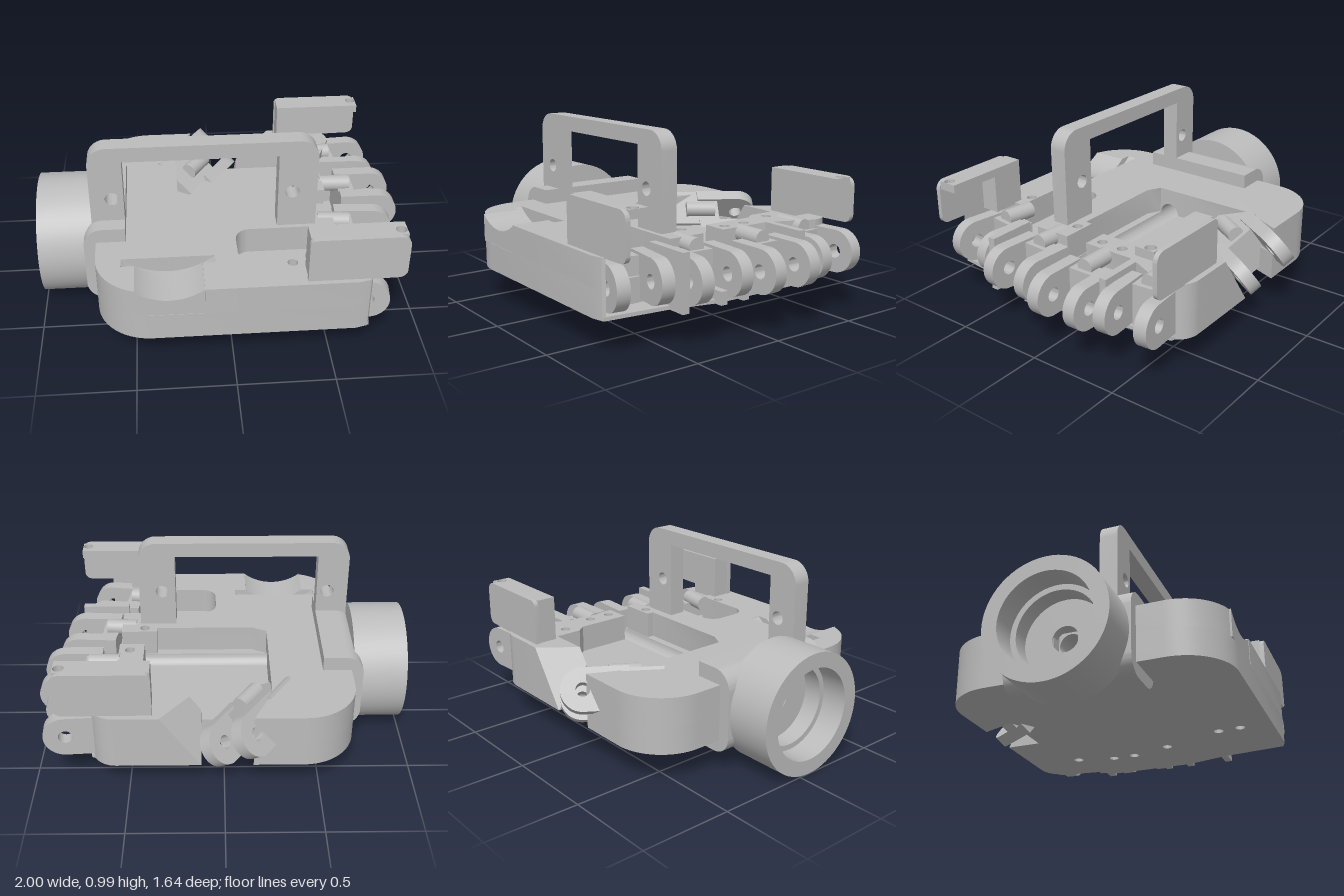
import * as THREE from 'three';
import { toCreasedNormals, mergeGeometries } from 'three/addons/utils/BufferGeometryUtils.js';
import { ConvexGeometry } from 'three/addons/geometries/ConvexGeometry.js';

const grey = new THREE.MeshStandardMaterial({ color: 0xbcbcbc });
grey.name = 'plain grey';

function mesh(parent, name, geo) {
  const m = new THREE.Mesh(toCreasedNormals(geo, 0.5), grey);
  m.name = name;
  parent.add(m);
  return m;
}

function box(parent, name, x0, x1, y0, y1, z0, z1) {
  const g = new THREE.BoxGeometry(x1 - x0, y1 - y0, z1 - z0);
  g.translate((x0 + x1) / 2, (y0 + y1) / 2, (z0 + z1) / 2);
  return mesh(parent, name, g);
}

// Polygon whose points may carry a third value: a corner radius
function poly(pts, holes = []) {
  const s = new THREE.Shape();
  const n = pts.length;
  pts.forEach(([x, y, r = 0], i) => {
    const p = new THREE.Vector2(x, y);
    const toward = (q) => new THREE.Vector2(q[0], q[1]).sub(p).setLength(r).add(p);
    const a = r ? toward(pts[(i + n - 1) % n]) : p;
    if (i) s.lineTo(a.x, a.y); else s.moveTo(a.x, a.y);
    if (!r) return;
    const b = toward(pts[(i + 1) % n]);
    // Cubic approximating a quarter circle
    const k = 0.5523;
    const c1 = a.clone().lerp(p, k), c2 = b.clone().lerp(p, k);
    s.bezierCurveTo(c1.x, c1.y, c2.x, c2.y, b.x, b.y);
  });
  s.closePath();
  for (const [x, y, r] of holes) s.holes.push(new THREE.Path().absarc(x, y, r, 0, Math.PI * 2, true));
  return s;
}

const extrude = (shape, depth) => new THREE.ExtrudeGeometry(shape, { depth, bevelEnabled: false, curveSegments: 16 });
// Plan shape (x, z) raised between two heights
const alongY = (shape, y0, y1) => extrude(shape, y1 - y0).rotateX(Math.PI / 2).translate(0, y1, 0);
// Profile (x, y) swept in z
const alongZ = (shape, z0, z1) => extrude(shape, z1 - z0).translate(0, 0, z0);
// Profile (-z, y) swept in x
const alongX = (shape, x0, x1) => extrude(shape, x1 - x0).rotateY(Math.PI / 2).translate(x0, 0, 0);
const rect = (x0, x1, y0, y1) => [[x0, y0], [x1, y0], [x1, y1], [x0, y1]];

const LOW = 0.18, MID = 0.33, TOP = 0.48, AXIS_Z = 0.065;

// Pair of pierced lugs with a block and a pin tube; local +x points outward
function hinge(parent, name, x, y, z, yaw, roll = 0, lugLength = 0.21) {
  const h = new THREE.Group();
  h.name = name;
  const lug = new THREE.Shape();
  lug.moveTo(-lugLength, -0.115);
  lug.lineTo(0, -0.115);
  lug.absarc(0, 0, 0.115, -Math.PI / 2, Math.PI / 2, false);
  lug.lineTo(-lugLength, 0.115);
  lug.closePath();
  lug.holes.push(new THREE.Path().absarc(0, 0, 0.037, 0, Math.PI * 2, true));
  for (const side of [-1, 1]) {
    mesh(h, 'hingeLug', alongZ(lug, side * 0.115 - 0.035, side * 0.115 + 0.035));
  }
  box(h, 'hingeBlock', -0.21, -0.12, -0.135, 0.1, -0.082, 0.082);
  mesh(h, 'hingePin', new THREE.CylinderGeometry(0.045, 0.045, 0.17, 24)
    .rotateZ(Math.PI / 2).translate(-0.23, 0.115, 0));
  h.rotation.set(roll, yaw, 0, 'YXZ');
  h.position.set(x, y, z);
  parent.add(h);
  return h;
}

export function createModel() {
  const model = new THREE.Group();
  model.name = 'cameraMount';
  const body = new THREE.Group();
  body.name = 'body';
  model.add(body);

  // Rear half of the body, with the buckle notch
  const r = 0.027;
  const rearHoles = [[0.47, -0.4, r], [0.52, -0.19, r], [0.52, -0.06, r]];
  mesh(body, 'rearFloor', alongY(poly([
    [-0.69, 0], [-0.69, -0.69, 0.28], [-0.15, -0.69], [-0.22, -0.5], [0.33, -0.5],
    [0.33, -0.69], [0.69, -0.69, 0.13], [0.69, -0.55], [0.6, -0.3], [0.6, 0],
  ], rearHoles), LOW, MID));
  mesh(body, 'rearLeftRim', alongY(poly([
    [-0.69, 0], [-0.69, -0.69, 0.28], [-0.15, -0.69], [-0.25, -0.48], [-0.25, 0],
  ]), MID, TOP));
  mesh(body, 'rearRightRim', alongY(poly([
    [0.33, -0.69], [0.69, -0.69, 0.13], [0.69, -0.55], [0.58, -0.3], [0.58, 0],
    [0.44, 0], [0.44, -0.3], [0.4, -0.35], [0.4, -0.5], [0.33, -0.5],
  ], rearHoles), MID, TOP));
  // Block whose top is cut by an oblique plane
  mesh(body, 'rearSlope', new ConvexGeometry([
    [0.33, TOP, -0.69], [0.18, TOP, -0.5], [0.12, LOW, -0.69], [0.12, 0.394, -0.5],
    [0.12, LOW, -0.5], [0.33, LOW, -0.69], [0.33, LOW, -0.5], [0.33, TOP, -0.5],
  ].map((p) => new THREE.Vector3(...p))));

  // Front half of the body, with hinge recess and curved dips
  const frontHoles = [[0.45, 0.17, r], [0.31, 0.64, r]];
  mesh(body, 'frontFloor', alongY(poly([
    [-0.69, 0.13], [0.6, 0.13], [0.6, 0.79], [0.69, 0.79], [0.68, 0.805], [0.62, 0.82], [-0.69, 0.82, 0.28],
  ], [...frontHoles, [0.32, 0.515, r]]), LOW, MID));
  const cornerArc = Array.from({ length: 11 }, (_, i) => {
    const a = THREE.MathUtils.lerp(Math.acos(-0.08 / 0.28), Math.PI, i / 10);
    return [-0.41 + 0.28 * Math.cos(a), 0.54 + 0.28 * Math.sin(a)];
  });
  mesh(body, 'frontRim', alongY(poly([
    [-0.69, 0.13], [-0.25, 0.13], [-0.17, 0.17], [0.38, 0.17], [0.38, 0.13], [0.58, 0.13],
    [0.58, 0.34], [0.04, 0.34, 0.08], [0.04, 0.61, 0.08], [0.42, 0.61],
    [0.42, 0.79], [0.69, 0.79], [0.68, 0.805], [0.62, 0.82], [-0.145, 0.82], [-0.145, 0.61], [-0.08, 0.61],
    [-0.08, 0.55], [-0.56, 0.55], [-0.56, 0.61], [-0.49, 0.61], ...cornerArc,
  ], frontHoles), MID, TOP));
  const dip = (half, depth, z0, z1) => {
    const s = new THREE.Shape();
    const R = (half * half + depth * depth) / (2 * depth);
    const a = Math.asin(half / R);
    s.moveTo(-0.318 - half, MID);
    s.lineTo(-0.318 + half, MID);
    s.lineTo(-0.318 + half, TOP);
    s.absarc(-0.318, TOP + R - depth, R, -Math.PI / 2 + a, -Math.PI / 2 - a, true);
    s.closePath();
    mesh(body, 'curvedDip', alongZ(s, z0, z1));
  };
  dip(0.1725, 0.06, 0.61, 0.818);
  dip(0.24, 0.09, 0.55, 0.61);

  // Bore through the body, opening into a half-round groove
  mesh(body, 'boreStrip', alongX(poly(rect(-0.13, 0, LOW, TOP), [[-AXIS_Z, MID, 0.06]]), -0.69, -0.25));
  const groove = new THREE.Shape();
  groove.moveTo(-0.13, LOW);
  groove.lineTo(0, LOW);
  groove.lineTo(0, MID);
  groove.lineTo(-AXIS_Z + 0.06, MID);
  groove.absarc(-AXIS_Z, MID, 0.06, 0, -Math.PI, true);
  groove.lineTo(-0.13, MID);
  groove.closePath();
  mesh(body, 'grooveStrip', alongX(groove, -0.25, 0.6));

  // Thin tray and dividers under the hinges
  mesh(body, 'tray', alongY(poly([
    [0.58, -0.66], [0.69, -0.62], [0.73, -0.33], [0.79, -0.3], [0.79, 0.2], [0.73, 0.44],
    [0.69, 0.8], [0.58, 0.8],
  ]), LOW, LOW + 0.02));
  for (const [z, top] of [[0.435, TOP], [0.2, 0.25], [0.06, 0.25], [-0.315, TOP]]) {
    box(body, 'divider', 0.56, 0.83, LOW, top, z - 0.02, z + 0.02);
  }

  // Rounded mount block behind the lens ring, left open along the bore
  const [bx0, bx1, by0, by1] = [-0.755, -0.445, 0.11, 0.56];
  const upper = [[-0.535, 0.4], [-0.535, by1], [bx0, by1, 0.1]];
  const lower = [[bx0, by0, 0.1], [bx1, by0, 0.1]];
  const full = poly([...lower, [bx1, 0.4], ...upper]);
  mesh(model, 'mountBlock', mergeGeometries([
    alongZ(full, -0.27, 0),
    alongZ(full, 0.13, 0.4),
    alongZ(poly([...upper, [bx0, 0.4]]), 0, 0.13),
    alongZ(poly([...lower, [bx1, 0.26], [bx0, 0.26]]), 0, 0.13),
  ]));

  // Lens ring with stepped inside
  const ringProfile = [
    [0.07, 0.71], [0.325, 0.71], [0.325, 1], [0.245, 1], [0.245, 0.86],
    [0.215, 0.86], [0.215, 0.76], [0.07, 0.76], [0.07, 0.71],
  ].map(([x, y]) => new THREE.Vector2(x, y));
  mesh(model, 'lensRing', new THREE.LatheGeometry(ringProfile, 64)
    .rotateZ(Math.PI / 2).translate(0, MID, AXIS_Z));

  // Carrying handle
  mesh(model, 'handle', alongZ(poly([
    [-0.71, 0.46], [-0.535, 0.46], [-0.535, 0.912], [0.27, 0.912], [0.27, 0.46], [0.475, 0.46],
    [0.475, 0.995, 0.1], [-0.71, 0.995, 0.1],
  ], [[-0.595, 0.692, 0.037], [0.345, 0.692, 0.037]]), 0.22, 0.315));

  // Two side arms: outer plate, top cap with hole, inner rib
  for (const [name, outer, s] of [['frontArm', 0.795, 1], ['rearArm', -0.66, -1]]) {
    const arm = new THREE.Group();
    arm.name = name;
    model.add(arm);
    const span = (a, b) => [outer - s * a, outer - s * b].sort((p, q) => p - q);
    mesh(arm, 'armPlate', alongZ(poly([
      [0.365, 0.47], [0.86, 0.48, 0.04], [0.86, 0.725, 0.05], [0.365, 0.725, 0.03],
    ]), ...span(0, 0.025)));
    const [z0, z1] = span(0.025, 0.13);
    mesh(arm, 'armCap', alongY(poly(rect(0.37, 0.85, z0, z1), [[0.82, outer - s * 0.065, 0.028]]), 0.68, 0.725));
    box(arm, 'armRib', 0.37, 0.56, 0.47, 0.68, z0, z1);
  }

  // Hinges fanned along the side
  hinge(model, 'hinge', 0.695, 0.33, 0.63, -0.14);
  hinge(model, 'hinge', 0.815, 0.33, 0.255, -0.06);
  hinge(model, 'hinge', 0.885, 0.33, -0.125, 0);
  hinge(model, 'hinge', 0.825, 0.33, -0.49, 0.07);

  // Tilted rear buckle with its wider base
  const buckle = hinge(model, 'rearBuckle', -0.06, 0.32, -0.655, 1.0, 0.62, 0.24);
  box(buckle, 'buckleBase', -0.42, -0.2, -0.1, 0.1, -0.16, 0.1);

  return model;
}
